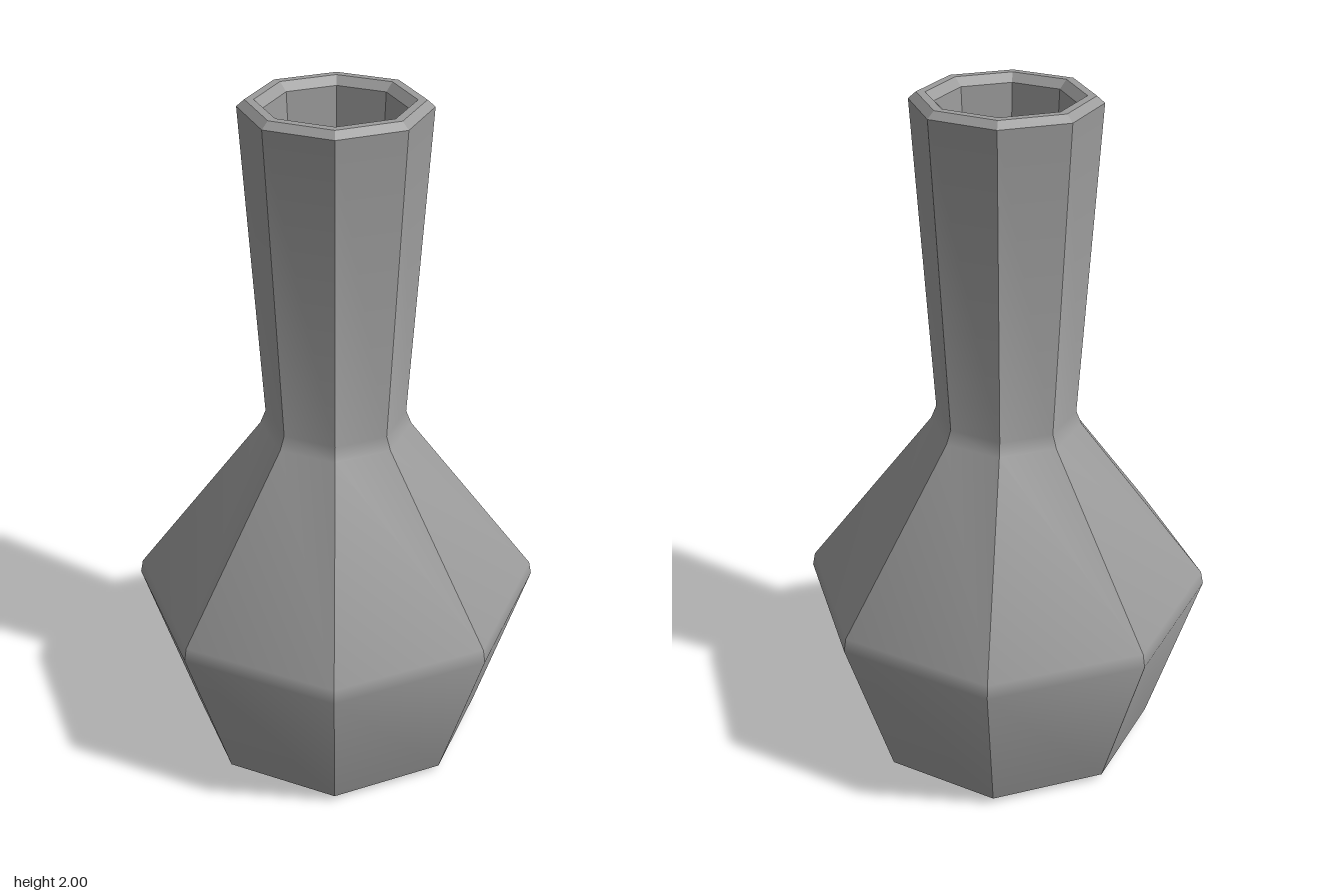
import * as THREE from 'three';
import { toCreasedNormals } from 'three/addons/utils/BufferGeometryUtils.js';

const SIDES = 8;

export function createModel() {
  const group = new THREE.Group();
  group.name = 'vase';

  // Half profile as [radius, height]
  const base = [[0, 0], [0.42, 0], [0.447, 0.022]];
  const belly = [[0.597, 0.518], [0.589, 0.558]];
  const neck = [[0.217, 1.05], [0.201, 1.09]];
  const rim = [[0.253, 1.982], [0.232, 2], [0.208, 2], [0.185, 1.978]];
  const hollow = [[0.145, 1.13], [0.12, 1.1], [0, 1.1]];
  const profile = [...base, ...belly, ...neck, ...rim, ...hollow]
    .map(([r, y]) => new THREE.Vector2(r, y));

  // Hard edges between the sides, soft bends at belly and neck
  const lathe = new THREE.LatheGeometry(profile, SIDES);
  const geometry = toCreasedNormals(lathe, 0.475);

  const body = new THREE.Mesh(
    geometry,
    new THREE.MeshStandardMaterial({ color: 0x9c9c9c })
  );
  body.name = 'vaseBody';
  group.add(body);
  return group;
}
